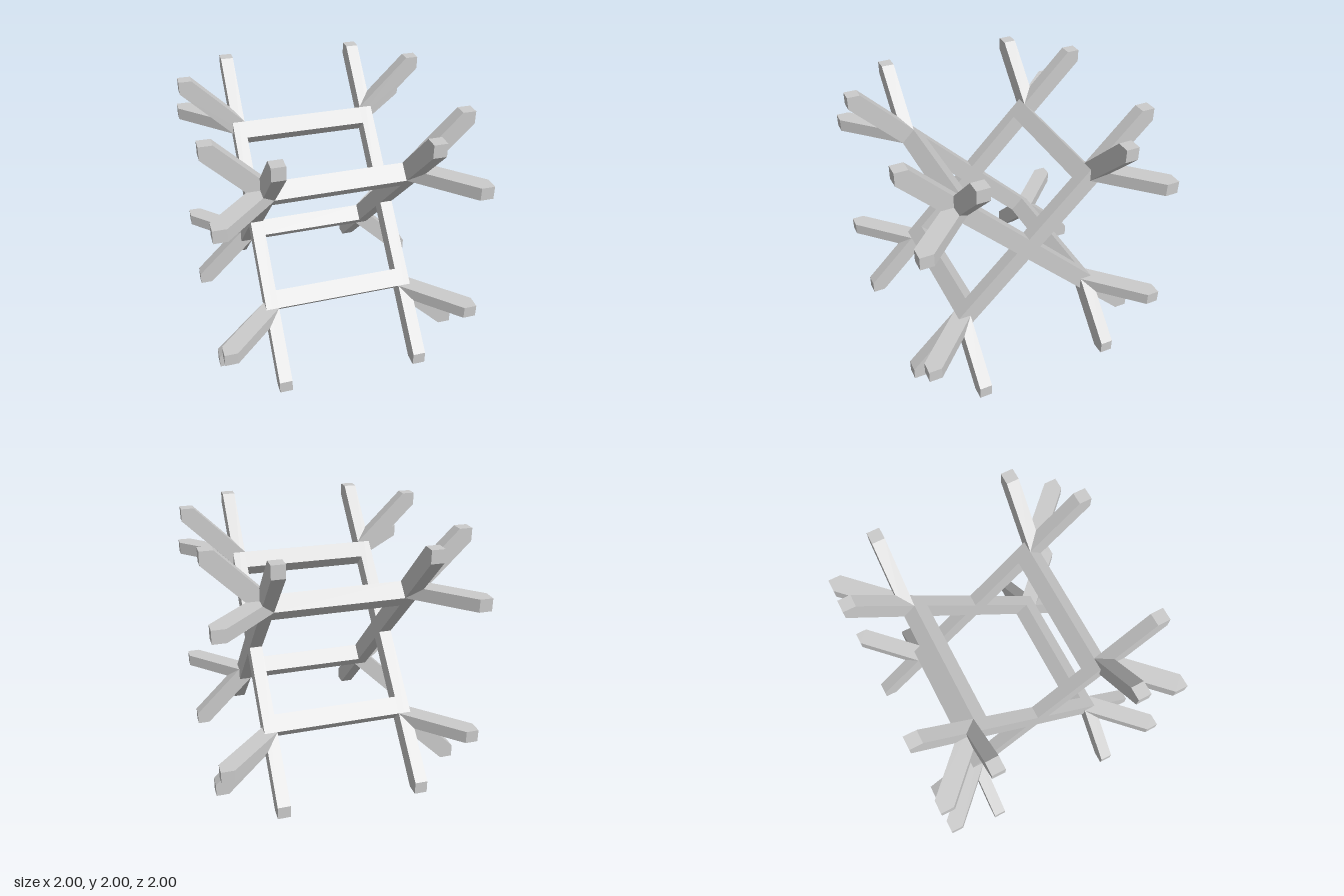
import * as THREE from 'three';

const material = new THREE.MeshStandardMaterial({ color: 0xcccccc, flatShading: true });
const T = 0.1; // beam thickness

function slab(points) {
  const shape = new THREE.Shape(points.map(([x, y]) => new THREE.Vector2(x, y)));
  return new THREE.ExtrudeGeometry(shape, { depth: T, bevelEnabled: false });
}

function add(parent, geometry, name) {
  const mesh = new THREE.Mesh(geometry, material);
  mesh.name = name;
  parent.add(mesh);
  return mesh;
}

// Eight diagonal prongs in two parallel layers, lying in the xy plane
function prongSet(name) {
  const set = new THREE.Group();
  set.name = name;
  const geometry = slab([[0.5, 0.5], [0.6, 0.5], [1, 0.9], [1, 1], [0.9, 1], [0.5, 0.6]]);
  for (const z of [0.5, -0.5 - T]) {
    for (let i = 0; i < 4; i++) {
      const prong = add(set, geometry, 'prong');
      prong.position.z = z;
      prong.rotation.z = i * Math.PI / 2;
    }
  }
  return set;
}

export function createModel() {
  const model = new THREE.Group();
  model.name = 'crossedFrames';
  const core = new THREE.Group();
  core.name = 'core';
  core.position.y = 1;
  model.add(core);

  // Crossed side beams: one X-shaped outline, repeated on both sides
  const outline = [];
  for (let i = 0; i < 4; i++) {
    const c = Math.round(Math.cos(i * Math.PI / 2));
    const s = Math.round(Math.sin(i * Math.PI / 2));
    for (const [x, y] of [[T, 0], [1, 1 - T], [1, 1], [1 - T, 1]]) {
      outline.push([x * c - y * s, x * s + y * c]);
    }
  }
  const crossGeometry = slab(outline);
  for (const [x, name] of [[0.5, 'leftCross'], [-0.5 - T, 'rightCross']]) {
    const cross = add(core, crossGeometry, name);
    cross.rotation.y = Math.PI / 2;
    cross.position.x = x;
  }

  // Diamond-section rails joining the two crosses
  const railGeometry = new THREE.BoxGeometry(1, T * Math.SQRT2, T * Math.SQRT2);
  for (const y of [-0.5, 0.5]) {
    for (const z of [-0.5, 0.5]) {
      const rail = add(core, railGeometry, 'rail');
      rail.position.set(0, y, z);
      rail.rotation.x = Math.PI / 4;
    }
  }

  // Upright and level corner prongs
  core.add(prongSet('uprightProngs'));
  const level = prongSet('levelProngs');
  level.rotation.x = Math.PI / 2;
  core.add(level);

  return model;
}
